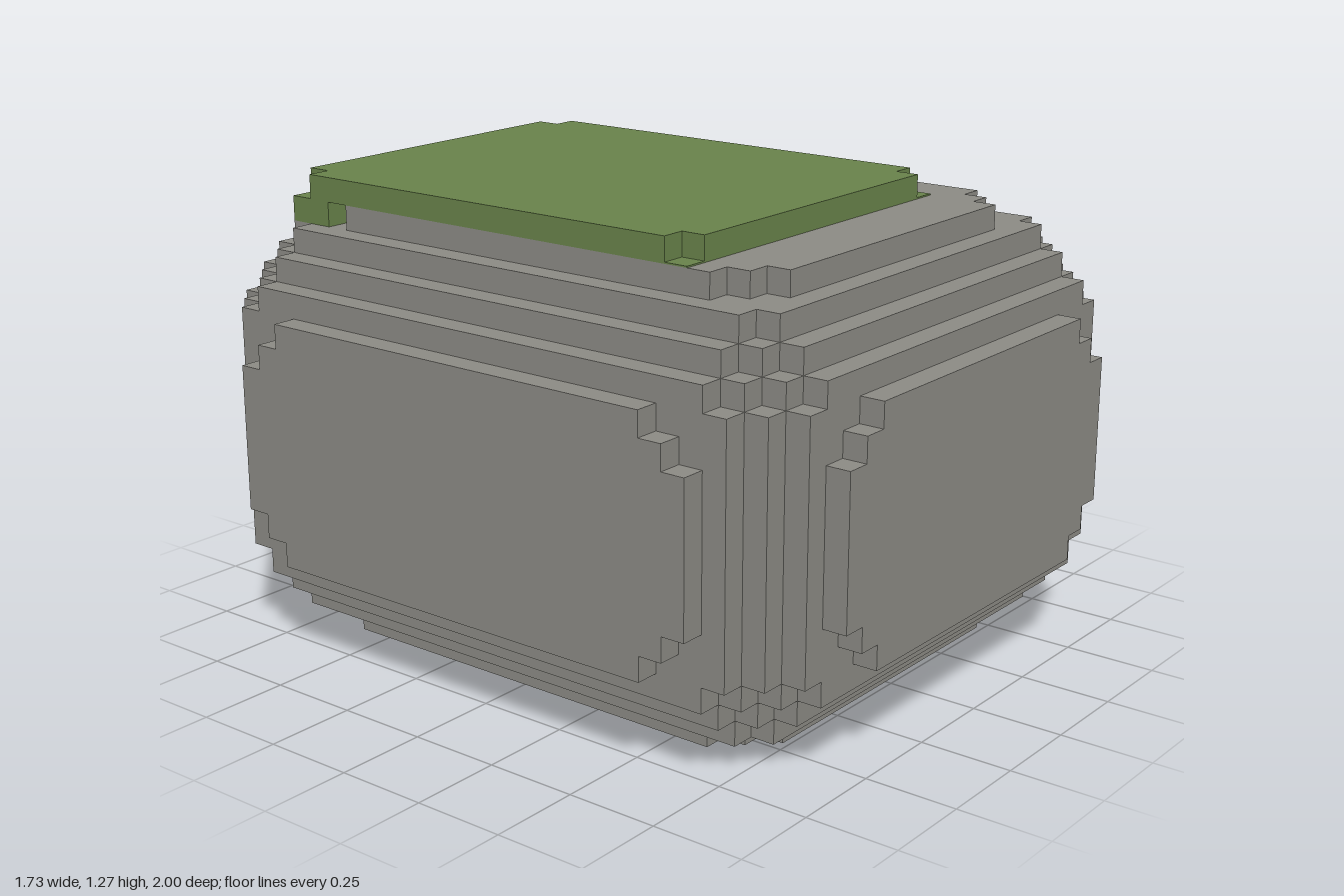
import * as THREE from 'three';

const U = 1 / 15; // one block
const HX = 13, HY = 9, HZ = 15; // stone half size in blocks

// Is a block inside, given its distance in blocks from the three outer planes?
function inStone(a, b, c) {
  const sum = a + b + c;
  if (a + b < 4 || b + c < 4 || a + c < 4 || sum < 8) return false;
  return Math.min(a, b, c) > 0 || sum >= 10;
}

// Stepped slab: inset(row) gives how far the side is set in, row by row from the end
function slab(hx, hz, inset, y0, y1) {
  const quarter = [];
  let last = null;
  for (let row = 0; row < hz; row++) {
    const i = inset(row);
    if (i >= hx || i === last) continue;
    if (last !== null) quarter.push([hx - last, hz - row]);
    quarter.push([hx - i, hz - row]);
    last = i;
  }
  const back = quarter.slice().reverse();
  const pts = [
    ...back.map(([x, z]) => [x, z]),
    ...quarter.map(([x, z]) => [-x, z]),
    ...back.map(([x, z]) => [-x, -z]),
    ...quarter.map(([x, z]) => [x, -z]),
  ].map(([x, z]) => new THREE.Vector2(x * U, z * U));
  const geo = new THREE.ExtrudeGeometry(new THREE.Shape(pts), { depth: (y1 - y0) * U, bevelEnabled: false });
  geo.rotateX(-Math.PI / 2);
  geo.translate(0, y0 * U, 0);
  return geo;
}

export function createModel() {
  const group = new THREE.Group();
  const stone = new THREE.MeshStandardMaterial({ color: 0x8b8a84 });
  stone.name = 'stone grey';
  const moss = new THREE.MeshStandardMaterial({ color: 0x68824a });
  moss.name = 'moss green';

  const add = (geo, mat, name, parent = group) => {
    const mesh = new THREE.Mesh(geo, mat);
    mesh.name = name;
    parent.add(mesh);
    return mesh;
  };

  // Boulder: stacked layers; the equal middle layers form one slab
  const boulder = new THREE.Group();
  boulder.name = 'boulder';
  group.add(boulder);
  const layer = (dy, y0, y1) => {
    const inset = (dz) => {
      let dx = 0;
      while (dx < HX && !inStone(dx, dy, dz)) dx++;
      return dx;
    };
    add(slab(HX, HZ, inset, y0, y1), stone, 'stoneLayer', boulder);
  };
  for (let dy = 0; dy < 6; dy++) {
    layer(dy, dy, dy + 1);
    layer(dy, 2 * HY - dy - 1, 2 * HY - dy);
  }
  layer(6, 6, 12);

  // Moss sheet with notched corners, set off centre
  const sheet = add(slab(8, 10, (row) => (row === 0 ? 1 : 0), 18, 19), moss, 'mossSheet');
  sheet.position.set(-U, 0, -2 * U);

  // Box between block coordinates
  const block = (x0, x1, y0, y1, z0, z1, name) => {
    const geo = new THREE.BoxGeometry((x1 - x0) * U, (y1 - y0) * U, (z1 - z0) * U);
    geo.translate((x0 + x1) * U / 2, (y0 + y1) * U / 2, (z0 + z1) * U / 2);
    add(geo, moss, name);
  };

  // Moss hanging over the back edge
  block(-9, 7.03, 17, 18.02, -12, -10, 'mossOverhang');

  // Thin moss patches in the front notches
  block(-9, -8, 18, 18.06, 7, 8, 'mossCornerRight');
  block(6, 7, 18, 18.06, 7, 8, 'mossCornerLeft');

  return group;
}
